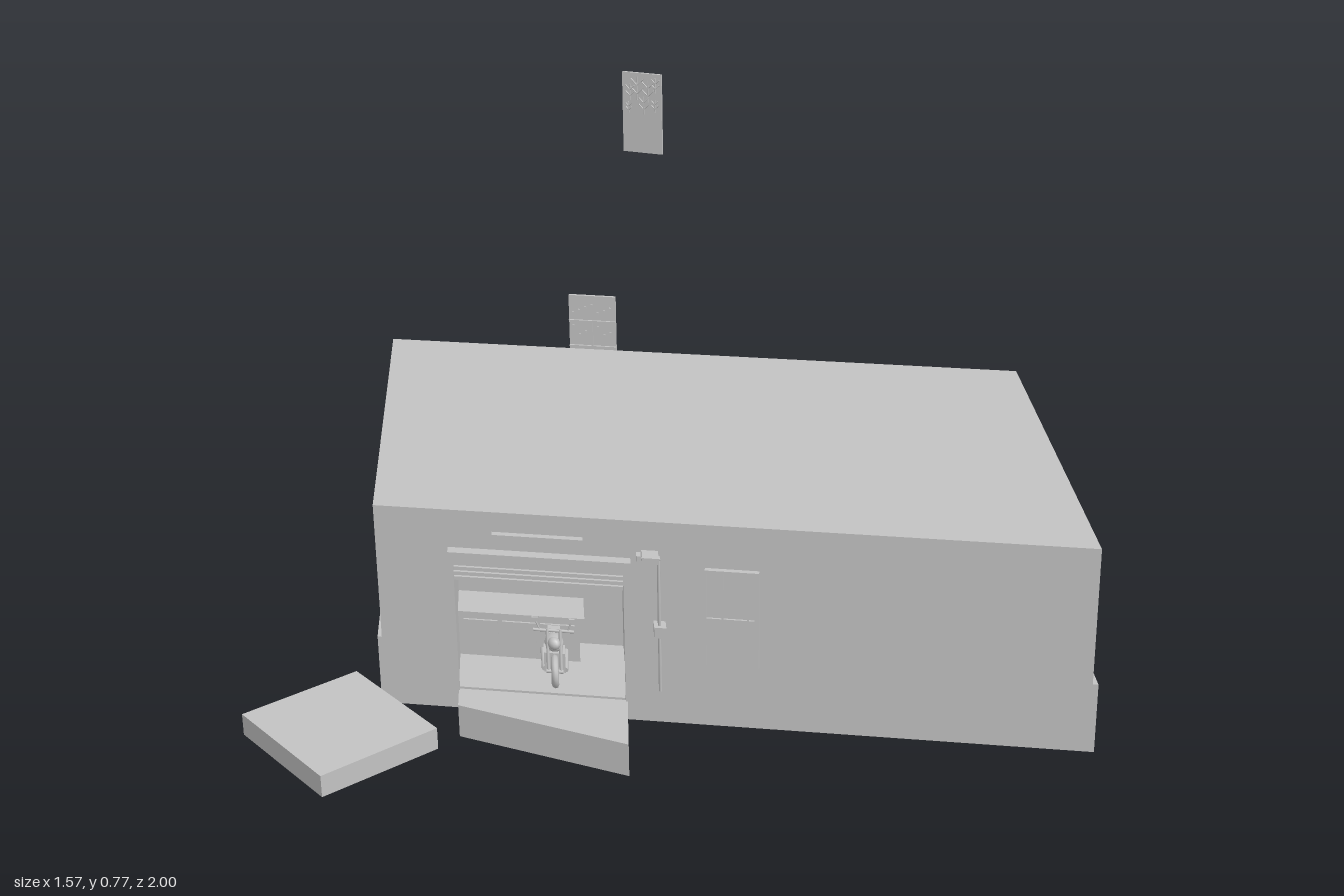
import * as THREE from 'three';

export function createModel() {
  const model = new THREE.Group();
  const grey = new THREE.MeshStandardMaterial({ color: 0xc2c2c2 });
  grey.name = 'plain grey';

  // The building plan is a parallelogram: wall space (x along the front, z out of it) is sheared.
  const shear = new THREE.Matrix4().set(
    1, 0, 0.356, 0,
    0, 1, 0, 0,
    -0.124, 0, 1, 0.601,
    0, 0, 0, 1);

  const group = (name, parent = model) => {
    const g = new THREE.Group();
    g.name = name;
    parent.add(g);
    return g;
  };
  const add = (parent, name, geometry, matrix = shear) => {
    if (matrix) geometry.applyMatrix4(matrix);
    const mesh = new THREE.Mesh(geometry, grey);
    mesh.name = name;
    parent.add(mesh);
    return mesh;
  };
  const box = (parent, name, x0, x1, y0, y1, z0, z1, matrix = shear) =>
    add(parent, name, new THREE.BoxGeometry(x1 - x0, y1 - y0, z1 - z0)
      .translate((x0 + x1) / 2, (y0 + y1) / 2, (z0 + z1) / 2), matrix);
  const rod = (parent, name, from, to, r, matrix = shear) => {
    const a = new THREE.Vector3(...from), b = new THREE.Vector3(...to);
    const g = new THREE.CylinderGeometry(r, r, a.distanceTo(b), 8);
    g.applyQuaternion(new THREE.Quaternion().setFromUnitVectors(
      new THREE.Vector3(0, 1, 0), b.clone().sub(a).normalize()));
    const m = a.add(b).multiplyScalar(0.5);
    return add(parent, name, g.translate(m.x, m.y, m.z), matrix);
  };
  const slab = (name, points, y0, y1) => {
    const shape = new THREE.Shape(points.map(([x, z]) => new THREE.Vector2(x, -z)));
    const g = new THREE.ExtrudeGeometry(shape, { depth: y1 - y0, bevelEnabled: false });
    return add(model, name, g.rotateX(-Math.PI / 2).translate(0, y0, 0), null);
  };

  // Building shell around the open garage bay
  const L = -0.375, R = -0.06, BACK = -0.745, ROOM = -0.183;
  const building = group('building');
  for (const [name, x0, x1, y0, y1] of [
    ['plinth', -0.523, 0.785, 0.025, 0.165],
    ['upperWall', -0.515, 0.775, 0.165, 0.435]]) {
    box(building, name + 'Rear', x0, x1, y0, y1, BACK, ROOM);
    box(building, name + 'Right', x0, L, y0, y1, ROOM, 0);
    box(building, name + 'Left', R, x1, y0, y1, ROOM, 0);
  }
  box(building, 'garageFloor', L, R, 0.025, 0.07, ROOM, 0);
  box(building, 'garageLintel', L, R, 0.295, 0.435, ROOM, 0);

  // Door frame, rolled shutter and sign
  const door = group('garageDoor');
  box(door, 'header', -0.382, -0.05, 0.335, 0.36, 0, 0.02);
  box(door, 'rightJamb', -0.382, -0.373, 0.07, 0.335, 0, 0.012);
  box(door, 'leftJamb', -0.064, -0.054, 0.07, 0.335, 0, 0.012);
  for (let i = 0; i < 4; i++)
    box(door, 'shutterSlat', L, R, 0.297 + i * 0.01, 0.304 + i * 0.01, 0, 0.006);
  box(door, 'sign', -0.3, -0.135, 0.376, 0.396, 0, 0.012);

  // Workbench and hanging tools; wx shifts a front-projected x to the rear of the bay
  const wx = (x, z) => x - 0.356 * z;
  const bench = group('workbench');
  box(bench, 'benchTop', L, -0.135, 0.157, 0.168, ROOM, -0.105);
  box(bench, 'benchCabinet', L, -0.145, 0.07, 0.157, ROOM, -0.115);
  for (let i = 0; i < 3; i++)
    box(bench, 'drawerFront', L + 0.01 + i * 0.073, L + 0.075 + i * 0.073, 0.08, 0.148, -0.115, -0.111);
  const tools = group('wallTools');
  [0.025, 0.04, 0.035, 0.045, 0.03, 0.04].forEach((h, i) => {
    const x = wx(-0.36 + i * 0.026, ROOM);
    box(tools, 'toolHandle', x - 0.002, x + 0.002, 0.272 - h, 0.272, ROOM, ROOM + 0.006);
    box(tools, 'toolHead', x - 0.006, x + 0.006, 0.264, 0.272, ROOM, ROOM + 0.008);
  });

  // Motorcycle facing out of the bay
  const bike = group('motorcycle');
  const bx = z => wx(-0.195, z) - 0.02;
  for (const z of [-0.025, -0.1]) {
    add(bike, 'wheel', new THREE.TorusGeometry(0.024, 0.007, 8, 20)
      .rotateY(Math.PI / 2).translate(bx(-0.06), 0.101, z));
    rod(bike, 'axle', [bx(-0.06) - 0.016, 0.101, z], [bx(-0.06) + 0.016, 0.101, z], 0.004);
  }
  const cx = bx(-0.06);
  box(bike, 'engine', cx - 0.02, cx + 0.02, 0.085, 0.125, -0.08, -0.048);
  add(bike, 'fuelTank', new THREE.SphereGeometry(0.02, 14, 10).scale(0.9, 0.7, 1.3).translate(cx, 0.145, -0.055));
  box(bike, 'seat', cx - 0.012, cx + 0.012, 0.135, 0.147, -0.115, -0.07);
  add(bike, 'headlamp', new THREE.SphereGeometry(0.012, 12, 8).translate(cx, 0.158, -0.028));
  rod(bike, 'handlebar', [cx - 0.038, 0.175, -0.045], [cx + 0.038, 0.175, -0.045], 0.003);
  for (const s of [-1, 1]) {
    rod(bike, 'fork', [cx + s * 0.012, 0.101, -0.025], [cx + s * 0.012, 0.178, -0.045], 0.003);
    rod(bike, 'mirrorStem', [cx + s * 0.026, 0.175, -0.045], [cx + s * 0.034, 0.196, -0.045], 0.0015);
    box(bike, 'mirror', cx + s * 0.034 - 0.006, cx + s * 0.034 + 0.006, 0.193, 0.201, -0.047, -0.043);
    rod(bike, 'exhaust', [cx + s * 0.02, 0.09, -0.05], [cx + s * 0.022, 0.095, -0.12], 0.005);
  }

  // Conduit with arm and switch box beside the door
  const conduit = group('conduit');
  rod(conduit, 'pole', [0, 0.1, 0.015], [0, 0.375, 0.015], 0.003);
  rod(conduit, 'arm', [-0.04, 0.373, 0.02], [0.003, 0.373, 0.02], 0.003);
  box(conduit, 'armTip', -0.04, -0.032, 0.366, 0.38, 0.012, 0.028);
  box(conduit, 'switchBox', -0.01, 0.012, 0.214, 0.236, 0, 0.025);
  box(conduit, 'lampBase', -0.03, 0, 0.366, 0.378, 0, 0.03);

  // Panels of one size: a plate with frame strips on its front
  const panel = (name, x, y, z, turn, strips) => {
    const g = group(name);
    box(g, 'plate', -0.049, 0.049, -0.0975, 0.0975, -0.004, 0.002, null);
    for (const [x0, x1, y0, y1] of strips) box(g, 'strip', x0, x1, y0, y1, 0.002, 0.006, null);
    g.position.set(x, y, z);
    g.rotation.y = turn;
    return g;
  };
  panel('frontWindow', 0.136, 0.2575, 0.598, 0.12, [
    [-0.049, 0.049, -0.004, 0.001], [-0.049, 0.049, 0.0925, 0.0975],
    [-0.049, -0.046, -0.0975, 0.0975], [0.041, 0.049, -0.0975, 0.0975],
    [-0.018, -0.015, 0, 0.095], [0.028, 0.031, 0, 0.095]]);

  const rear = panel('rearPanel', -0.36, 0.4525, -0.142, 0.11, [
    [-0.049, 0.049, 0.041, 0.044], [-0.049, 0.049, -0.015, -0.012],
    [-0.002, 0.001, -0.015, 0.044]]);
  for (let i = 0; i < 14; i++) {
    const x = -0.04 + (i % 7) * 0.013, y = (i < 7 ? 0.06 : 0.012) + ((i * 5) % 4) * 0.006;
    box(rear, 'fleck', x - 0.002, x + 0.002, y - 0.002, y + 0.002, 0.002, 0.005, null);
  }

  // Distant panel with a branching relief on its upper half
  const far = panel('farPanel', -0.508, 0.6775, -0.995, -0.06, []);
  for (const [x, y, s] of [[-0.03, 0.05, 0.9], [-0.012, 0.06, 1.3], [0.015, 0.055, 1.2], [0.034, 0.07, 0.8],
    [-0.034, 0.012, 0.6], [0.004, 0.02, 1], [0.032, 0.02, 0.7]]) {
    rod(far, 'stem', [x, y - 0.022 * s, 0.002], [x, y + 0.022 * s, 0.002], 0.0015, null);
    for (const d of [-1, 1]) for (const h of [-0.01, 0.006])
      rod(far, 'twig', [x, y + h * s, 0.002], [x + d * 0.012 * s, y + (h + 0.012) * s, 0.002], 0.0014, null);
  }

  // Step in front of the bay and loose paving slab
  slab('doorStep', [[-0.375, 0.648], [-0.355, 0.705], [-0.013, 0.755], [-0.06, 0.609]], 0, 0.066);
  slab('pavingSlab', [[-0.58, 0.645], [-0.72, 0.842], [-0.498, 0.997], [-0.36, 0.797]], 0.028, 0.071);

  return model;
}
